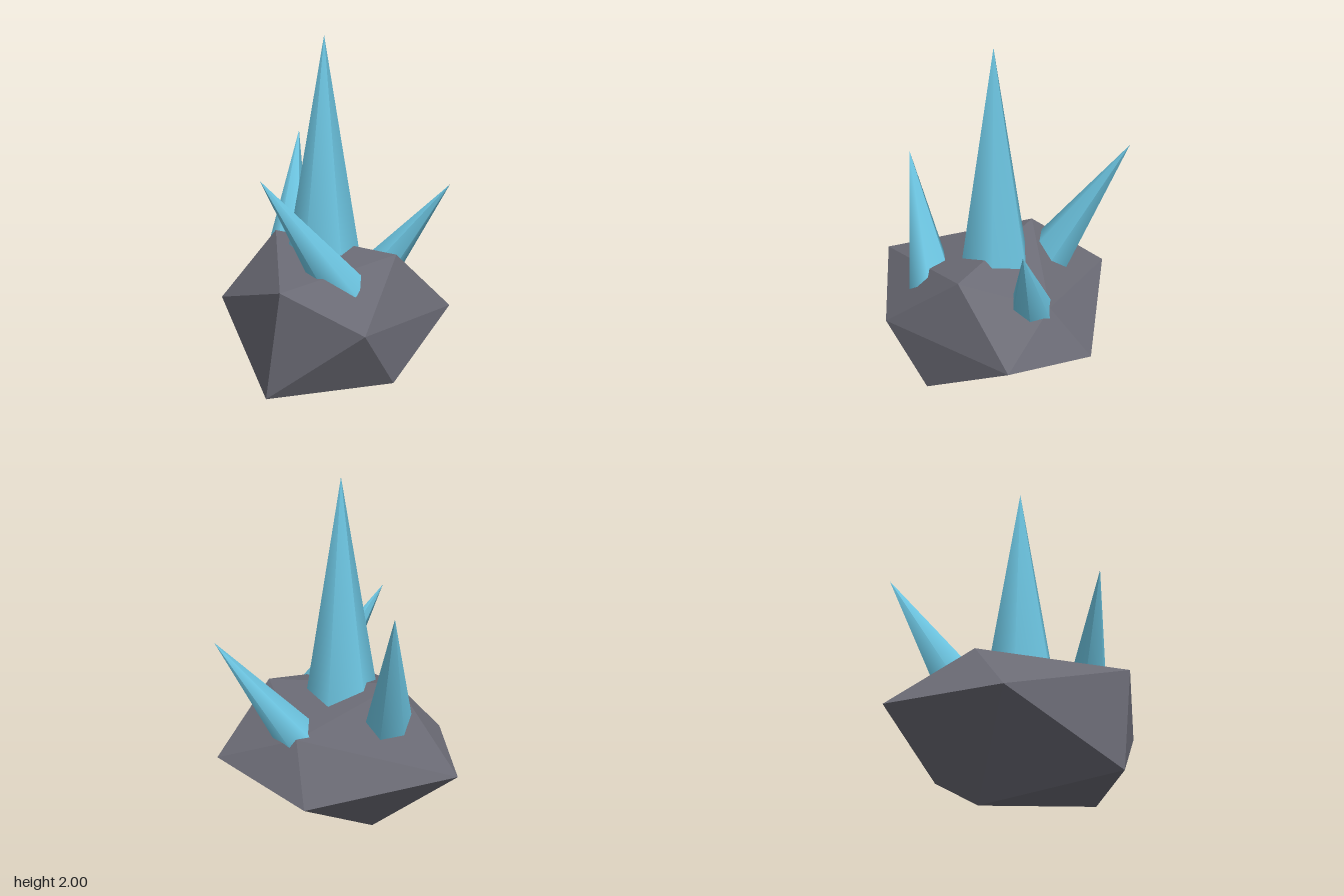
import * as THREE from 'three';

const rockMaterial = new THREE.MeshStandardMaterial({ color: 0x6b6b75 });
rockMaterial.name = 'grey rock';
const crystalMaterial = new THREE.MeshStandardMaterial({ color: 0x6cc4e0 });
crystalMaterial.name = 'blue crystal';

// Rock: an uneven icosahedron, with one letter per corner
function makeRock() {
  const corners = {
    A: [-0.69, 0.46, -0.31], B: [0.68, 0.44, -0.48], C: [0.07, 0.28, -0.65],
    D: [-0.25, 0.86, -0.06], E: [0.54, 0.80, -0.07], F: [0.23, 0.69, 0.64],
    G: [-0.40, 0.51, 0.28], H: [0.60, 0.45, 0.39], I: [0.14, 0.10, 0.64],
    J: [0.62, 0.12, 0.10], K: [-0.13, 0, -0.13], L: [0.20, 0.60, -0.45],
  };
  // front fan, back fan, then the band between them
  const faces = 'FDG FGI FIH FHE FED CAL CLB CBJ CJK CKA ' +
    'GDA IGK HIJ EHB DEL LAD BLE JBH KJI AKG';
  const positions = [];
  for (const face of faces.split(' ')) {
    for (const letter of face) positions.push(...corners[letter]);
  }
  const geometry = new THREE.BufferGeometry();
  geometry.setAttribute('position', new THREE.Float32BufferAttribute(positions, 3));
  geometry.computeVertexNormals(); // unshared corners keep the faces flat
  const rock = new THREE.Mesh(geometry, rockMaterial);
  rock.name = 'rock';
  return rock;
}

// Crystal: a six-sided spike from a base sunk in the rock to its tip
function makeCrystal(name, base, tip, radius) {
  const from = new THREE.Vector3(...base);
  const to = new THREE.Vector3(...tip);
  const axis = to.clone().sub(from);
  const crystal = new THREE.Mesh(new THREE.ConeGeometry(radius, axis.length(), 6), crystalMaterial);
  crystal.name = name;
  crystal.position.copy(from).add(to).multiplyScalar(0.5);
  crystal.quaternion.setFromUnitVectors(new THREE.Vector3(0, 1, 0), axis.normalize());
  return crystal;
}

export function createModel() {
  const model = new THREE.Group();
  model.name = 'crystalRock';
  model.add(
    makeRock(),
    makeCrystal('mainCrystal', [0.10, 0.65, -0.02], [0.10, 2, -0.02], 0.226),
    makeCrystal('frontCrystal', [0.375, 0.62, 0.22], [0.07, 1.26, 0.58], 0.14),
    makeCrystal('backLeftCrystal', [0.18, 0.50, -0.325], [0.64, 1.14, -0.54], 0.14),
    makeCrystal('backRightCrystal', [-0.23, 0.60, -0.145], [-0.42, 1.39, -0.59], 0.148),
  );
  return model;
}
